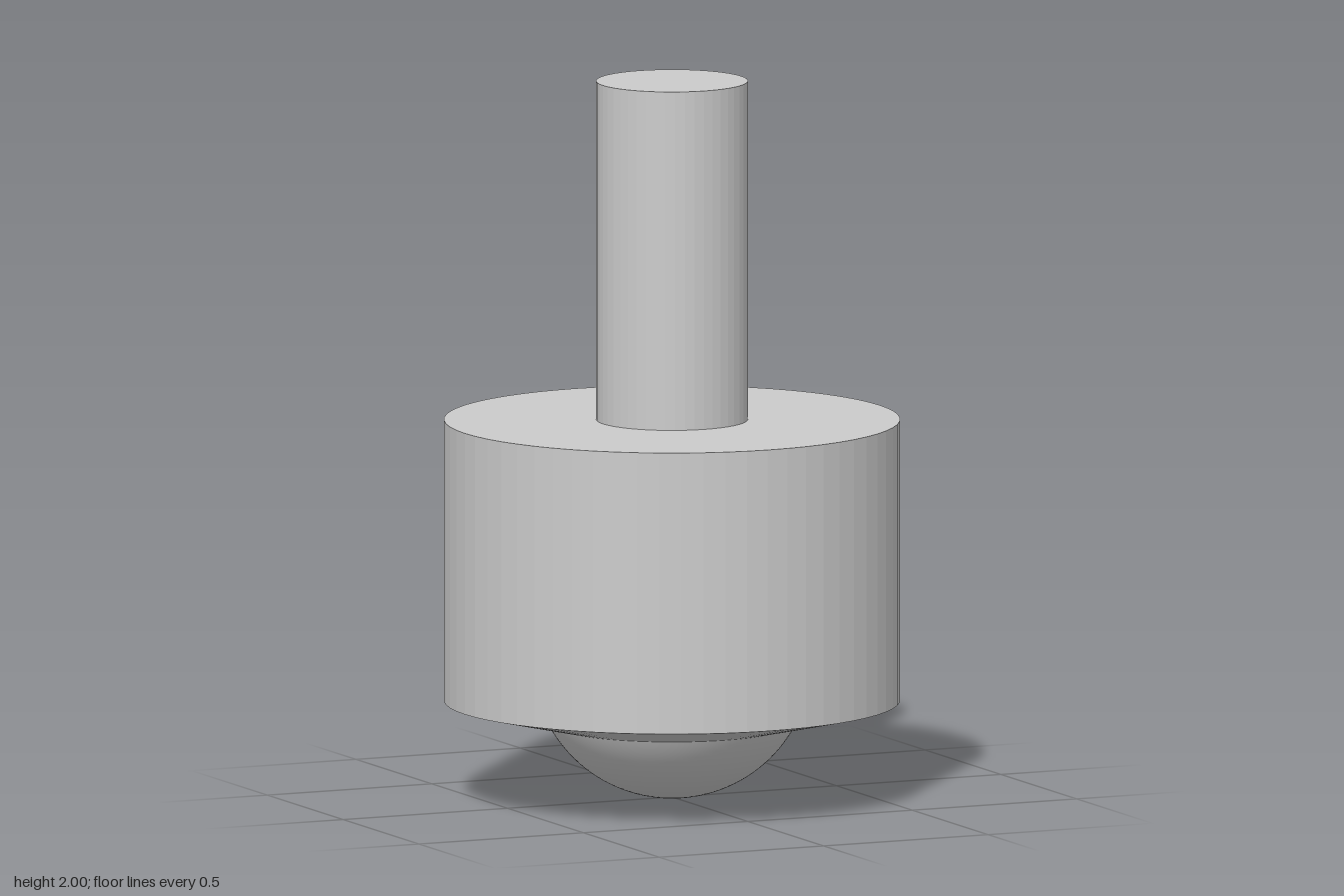
import * as THREE from 'three';

export function createModel() {
  const group = new THREE.Group();
  const material = new THREE.MeshStandardMaterial({ color: 0xcccccc, flatShading: true });
  const smooth = new THREE.MeshStandardMaterial({ color: 0xcccccc });

  const add = (name, geometry, y = 0, mat = material) => {
    const mesh = new THREE.Mesh(geometry, mat);
    mesh.name = name;
    mesh.position.y = y;
    group.add(mesh);
  };

  // Housing: conical underside, straight wall and flat top
  const profile = [[0.342, 0.205], [0.63, 0.27], [0.63, 1.055], [0, 1.055]]
    .map(([r, y]) => new THREE.Vector2(r, y));
  add('housing', new THREE.LatheGeometry(profile, 64));

  // Mounting stem, standing on the housing
  const stemBottom = 1.055, stemTop = 2;
  add('stem', new THREE.CylinderGeometry(0.21, 0.21, stemTop - stemBottom, 48),
    (stemBottom + stemTop) / 2);

  // Rolling ball, held in the opening of the housing
  const ballRadius = 0.388;
  add('ball', new THREE.SphereGeometry(ballRadius, 96, 64), ballRadius, smooth);

  return group;
}
